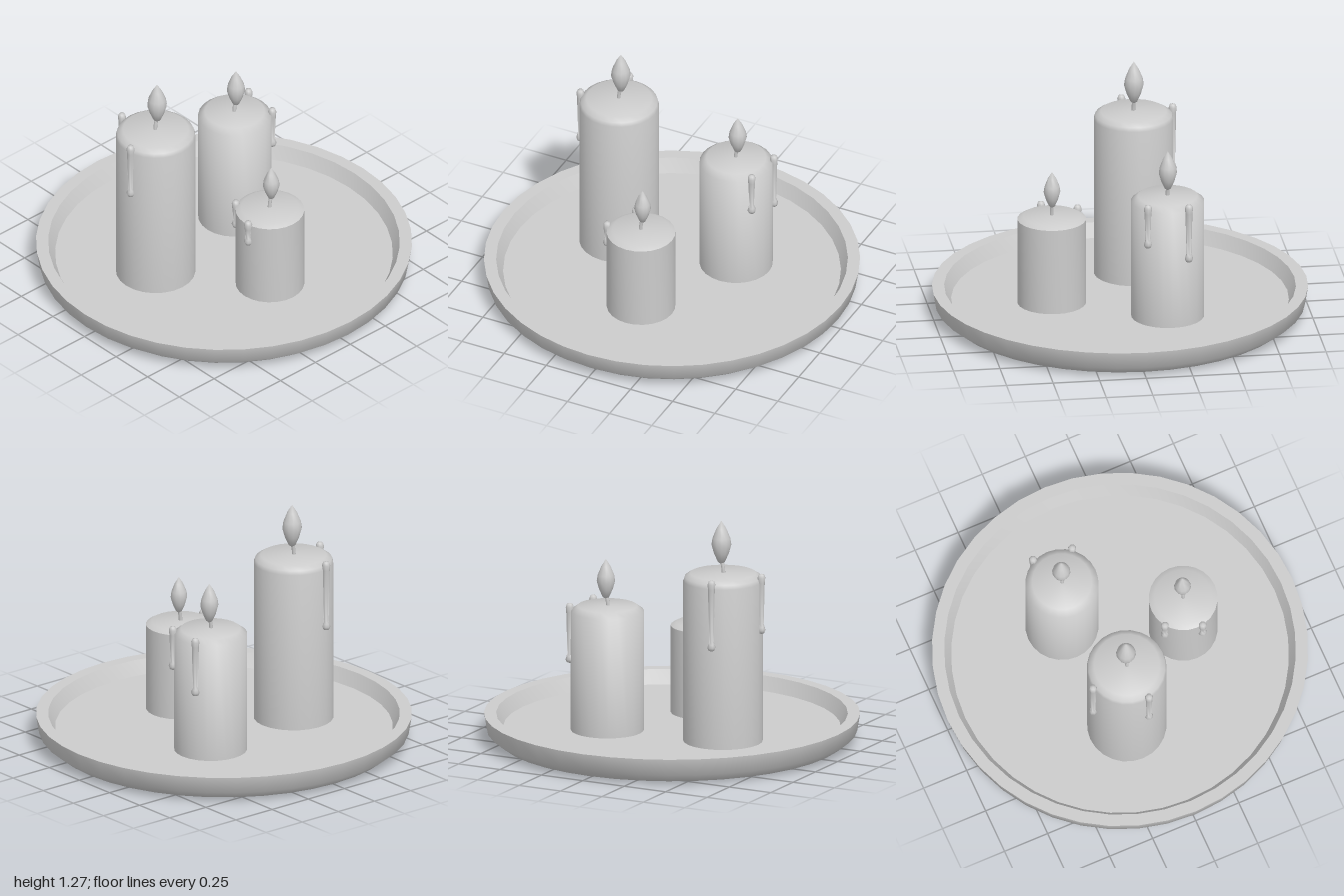
import * as THREE from 'three';
import { toCreasedNormals } from 'three/addons/utils/BufferGeometryUtils.js';

const FLOOR = 0.07;
const material = new THREE.MeshStandardMaterial({ color: 0xcccccc });

// Turned part from [radius, height] pairs, listed so that the outside faces out
function turned(name, profile, sides, crease = 0.87) {
  const points = profile.map(([r, y]) => new THREE.Vector2(r, y));
  const geometry = toCreasedNormals(new THREE.LatheGeometry(points, sides), crease);
  const mesh = new THREE.Mesh(geometry, material);
  mesh.name = name;
  return mesh;
}

// Wax drip: thick head, thin run, round bead at the end
function makeDrip(x, z, top, bottom) {
  const drip = turned('waxDrip', [
    [0, bottom], [0.016, bottom + 0.006], [0.023, bottom + 0.022], [0.018, bottom + 0.038],
    [0.013, bottom + 0.055], [0.019, top - 0.05], [0.022, top - 0.022], [0.016, top - 0.005], [0, top],
  ], 8, Math.PI);
  drip.position.set(x, 0, z);
  return drip;
}

// Candle with body, wick, flame and drips; bevel is [inset, depth]
function makeCandle({ name, x, z, r, top, bevel, round, lean, flame, drips }) {
  const candle = new THREE.Group();
  candle.name = name;

  const [inset, depth] = bevel;
  const edge = [[r, top - depth]];
  if (round) edge.push([r - inset * 0.2, top - depth * 0.45]);
  edge.push([r - inset, top]);
  const body = turned('candleBody', [[0, FLOOR], [r, FLOOR], ...edge, [0, top + 0.003]], 24, 1.05);
  body.position.set(x, 0, z);
  candle.add(body);

  // Slightly leaning wick
  const path = new THREE.CatmullRomCurve3([
    new THREE.Vector3(x - 0.004, top - 0.01, z),
    new THREE.Vector3(x, top + 0.03, z),
    new THREE.Vector3(x + lean, flame.base + 0.03, z),
  ]);
  const wick = new THREE.Mesh(new THREE.TubeGeometry(path, 6, 0.01, 8), material);
  wick.name = 'wick';
  candle.add(wick);

  // Teardrop flame
  const h = flame.tip - flame.base;
  const shape = [[0, 0], [0.35, 0.05], [0.75, 0.25], [1, 0.45], [0.9, 0.6], [0.5, 0.82], [0, 1]];
  const fire = turned('flame', shape.map(([a, b]) => [a * flame.r, flame.base + b * h]), 12, Math.PI);
  fire.position.set(x + lean, 0, z);
  candle.add(fire);

  for (const [dx, dz, bottom] of drips) candle.add(makeDrip(dx, dz, top + 0.013, bottom));
  return candle;
}

export function createModel() {
  const model = new THREE.Group();
  model.name = 'candleTray';

  // Round tray with raised rim
  model.add(turned('tray', [
    [0, 0], [0.925, 0.008], [0.985, 0.055], [1, 0.145], [0.935, 0.145], [0.898, FLOOR], [0, FLOOR],
  ], 40));

  const candles = [
    {
      name: 'tallCandle', x: -0.376, z: -0.126, r: 0.212, top: 0.988, bevel: [0.037, 0.04], round: true, lean: 0.01,
      flame: { base: 1.035, tip: 1.273, r: 0.053 },
      drips: [[-0.588, -0.09, 0.67], [-0.422, -0.342, 0.61]],
    },
    {
      name: 'middleCandle', x: 0.273, z: -0.217, r: 0.195, top: 0.75, bevel: [0.036, 0.027], lean: 0.009,
      flame: { base: 0.785, tip: 1.005, r: 0.049 },
      drips: [[0.453, -0.306, 0.433], [0.428, -0.09, 0.515]],
    },
    {
      name: 'shortCandle', x: -0.002, z: 0.366, r: 0.183, top: 0.562, bevel: [0.03, 0.017], lean: 0.009,
      flame: { base: 0.61, tip: 0.813, r: 0.045 },
      drips: [[-0.187, 0.398, 0.42], [-0.108, 0.213, 0.4]],
    },
  ];
  for (const spec of candles) model.add(makeCandle(spec));
  return model;
}
